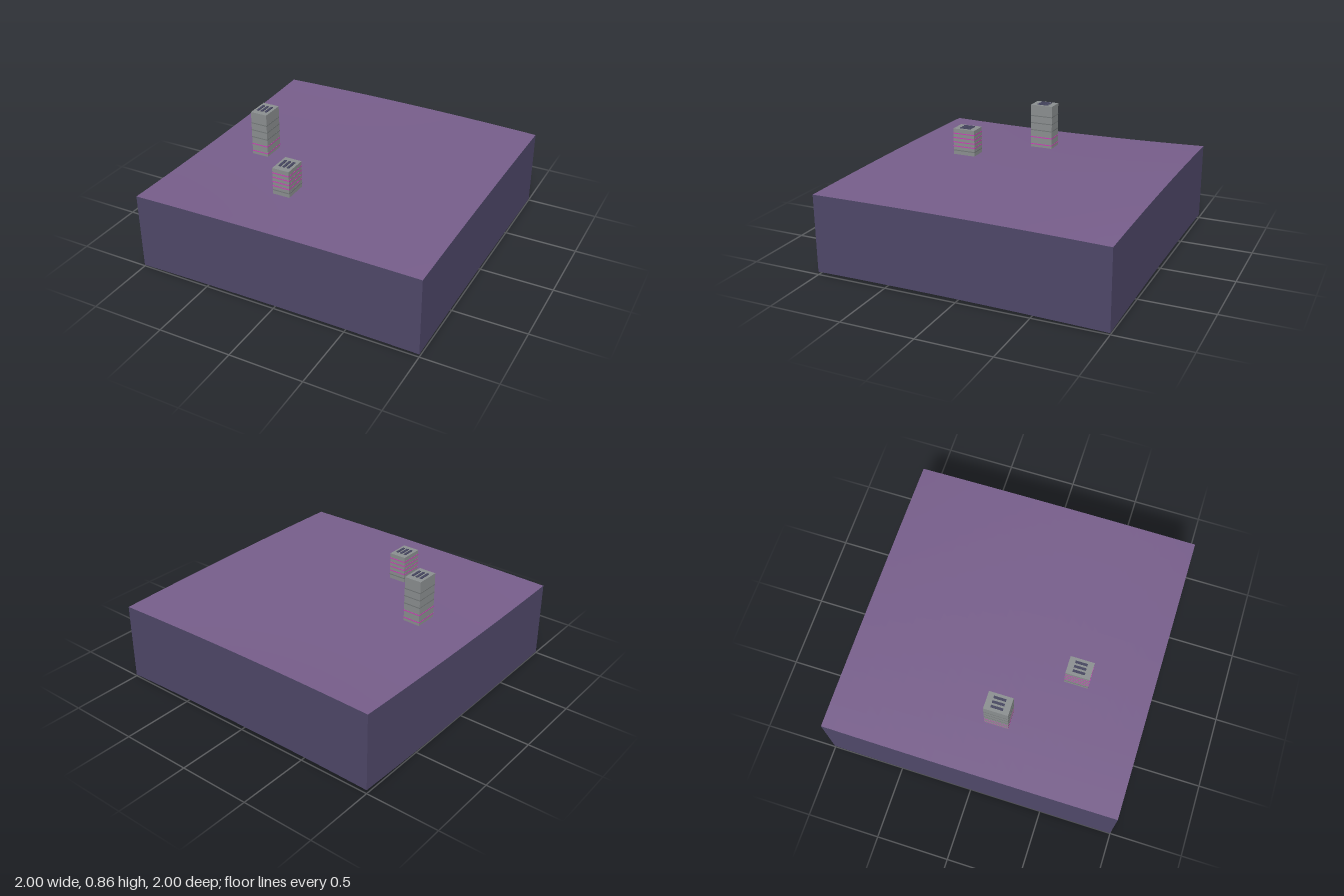
import * as THREE from 'three';

const mat = (name, color, side = THREE.FrontSide) => {
  const m = new THREE.MeshStandardMaterial({ color, side });
  m.name = name;
  return m;
};

// Ground height: quadratic blend through a 3x3 grid (rows run back to front)
const HEIGHTS = [
  [0.560, 0.567, 0.545],
  [0.536, 0.554, 0.560],
  [0.543, 0.558, 0.555],
];
const blend = ([a, b, c], t) => b + (c - a) / 2 * t + ((a + c) / 2 - b) * t * t;
const heightAt = (x, z) => blend(HEIGHTS.map((row) => blend(row, x)), z);
const SKIRT = 0.533;

export function createModel() {
  const group = new THREE.Group();
  const ground = mat('ground purple', 0x775e8b, THREE.DoubleSide);
  const earth = mat('earth indigo', 0x4f4869, THREE.DoubleSide);
  const concrete = mat('concrete grey', 0x8b8f90);
  const trim = mat('dull trim grey', 0x747879);
  const pink = mat('neon pink', 0xcc3fb8);
  const vent = mat('vent blue', 0x45455f);

  const add = (parent, name, geometry, material, x = 0, y = 0, z = 0) => {
    const mesh = new THREE.Mesh(geometry, material);
    mesh.name = name;
    mesh.position.set(x, y, z);
    parent.add(mesh);
    return mesh;
  };

  // Rolling ground surface
  const top = new THREE.PlaneGeometry(2, 2, 24, 24).rotateX(-Math.PI / 2);
  const p = top.attributes.position;
  for (let i = 0; i < p.count; i++) p.setY(i, heightAt(p.getX(i), p.getZ(i)));
  top.computeVertexNormals();
  add(group, 'groundSurface', top, ground);

  // Four skirt walls, open underneath, following the ground edge
  const wall = (name, angle) => {
    const g = new THREE.PlaneGeometry(2, 1, 24, 1).translate(0, 0, 1).rotateY(angle);
    const q = g.attributes.position;
    for (let i = 0; i < q.count; i++) {
      const drop = q.getY(i) > 0 ? 0 : SKIRT;
      q.setY(i, heightAt(q.getX(i), q.getZ(i)) - drop);
    }
    add(group, name, g, earth);
  };
  ['frontWall', 'leftWall', 'backWall', 'rightWall'].forEach((n, i) => wall(n, i * Math.PI / 2));

  // Tower block with floor bands on all sides and three roof vents
  const W = 0.12, D = 0.163;
  const tower = (name, x, z, base, roof, bands) => {
    const t = new THREE.Group();
    t.name = name;
    t.position.set(x, 0, z);
    add(t, 'towerBody', new THREE.BoxGeometry(W, roof - base, D), concrete, 0, (roof + base) / 2, 0);
    for (const [y, material] of bands) {
      add(t, 'floorBand', new THREE.BoxGeometry(W + 0.002, 0.007, D + 0.002), material, 0, y, 0);
    }
    for (const vx of [-0.031, 0, 0.031]) {
      add(t, 'roofVent', new THREE.BoxGeometry(0.016, 0.006, 0.082), vent, vx, roof + 0.002, 0);
    }
    group.add(t);
  };
  tower('tallTower', -0.587, 0.082, 0.543, 0.86,
    [[0.568, pink], [0.621, pink], [0.674, trim], [0.727, trim], [0.78, trim]]);
  tower('shortTower', -0.171, 0.498, 0.555, 0.743,
    [[0.585, trim], [0.615, pink], [0.646, pink], [0.677, pink], [0.709, pink]]);

  return group;
}
